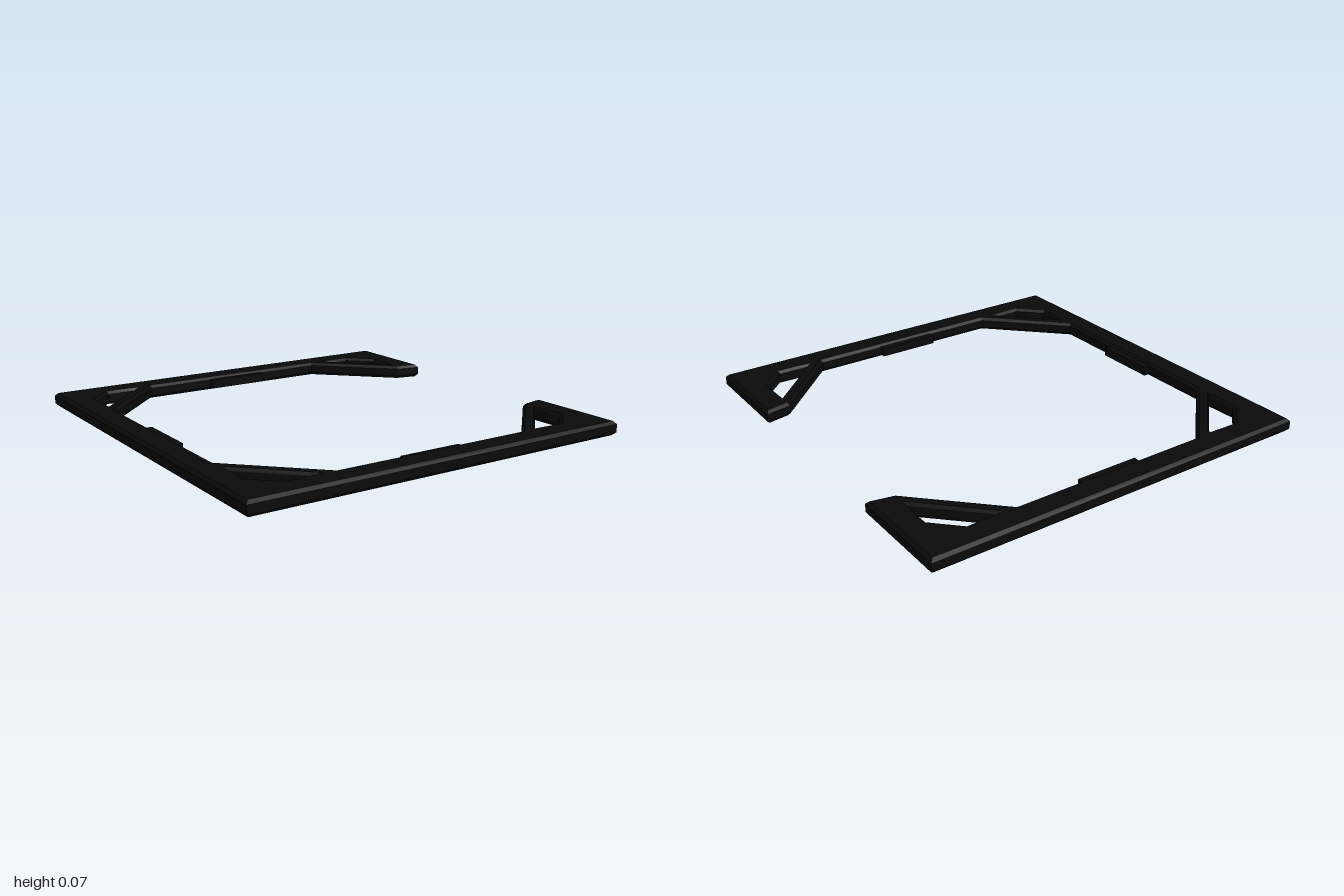
import * as THREE from 'three';

const HEIGHT = 0.07;
const BEVEL = 0.015;
const toPoints = (list) => list.map(([x, z]) => new THREE.Vector2(x, z));

export function createModel() {
  const group = new THREE.Group();
  group.name = 'openSquareFrame';
  const material = new THREE.MeshStandardMaterial({ color: 0x0a0a0a });

  // C-shaped outline, open on the +x side, with diagonal corner braces
  const half = [[1, 0.485], [1, 1], [-1, 1]];
  const inner = [[-0.87, 0.51], [-0.51, 0.87], [0.51, 0.87], [0.87, 0.51]];
  const mirror = (list) => list.map(([x, z]) => [x, -z]).reverse();
  const shape = new THREE.Shape(toPoints([...half, ...mirror(half), ...mirror(inner), ...inner]));

  // Cut-out behind each corner brace
  const cutout = [[0.87, 0.595], [0.87, 0.755], [0.755, 0.87], [0.595, 0.87]];
  for (const sx of [-1, 1]) {
    for (const sz of [-1, 1]) {
      shape.holes.push(new THREE.Path(toPoints(cutout.map(([x, z]) => [x * sx, z * sz]))));
    }
  }

  const geometry = new THREE.ExtrudeGeometry(shape, {
    depth: HEIGHT - 2 * BEVEL,
    bevelEnabled: true,
    bevelThickness: BEVEL,
    bevelSize: BEVEL,
    bevelOffset: -BEVEL,
    bevelSegments: 1,
  });
  geometry.rotateX(Math.PI / 2);
  geometry.translate(0, HEIGHT - BEVEL, 0);
  const frame = new THREE.Mesh(geometry, material);
  frame.name = 'frame';
  group.add(frame);

  // Small pads inside the three full-length bars
  const padGeometry = new THREE.BoxGeometry(0.32, 0.046, 0.06);
  ['backPad', 'rightPad', 'frontPad'].forEach((name, i) => {
    const pad = new THREE.Mesh(padGeometry, material);
    const angle = i * Math.PI / 2;
    pad.name = name;
    pad.rotation.y = angle;
    pad.position.set(-0.87 * Math.sin(angle), HEIGHT / 2, -0.87 * Math.cos(angle));
    group.add(pad);
  });

  return group;
}
